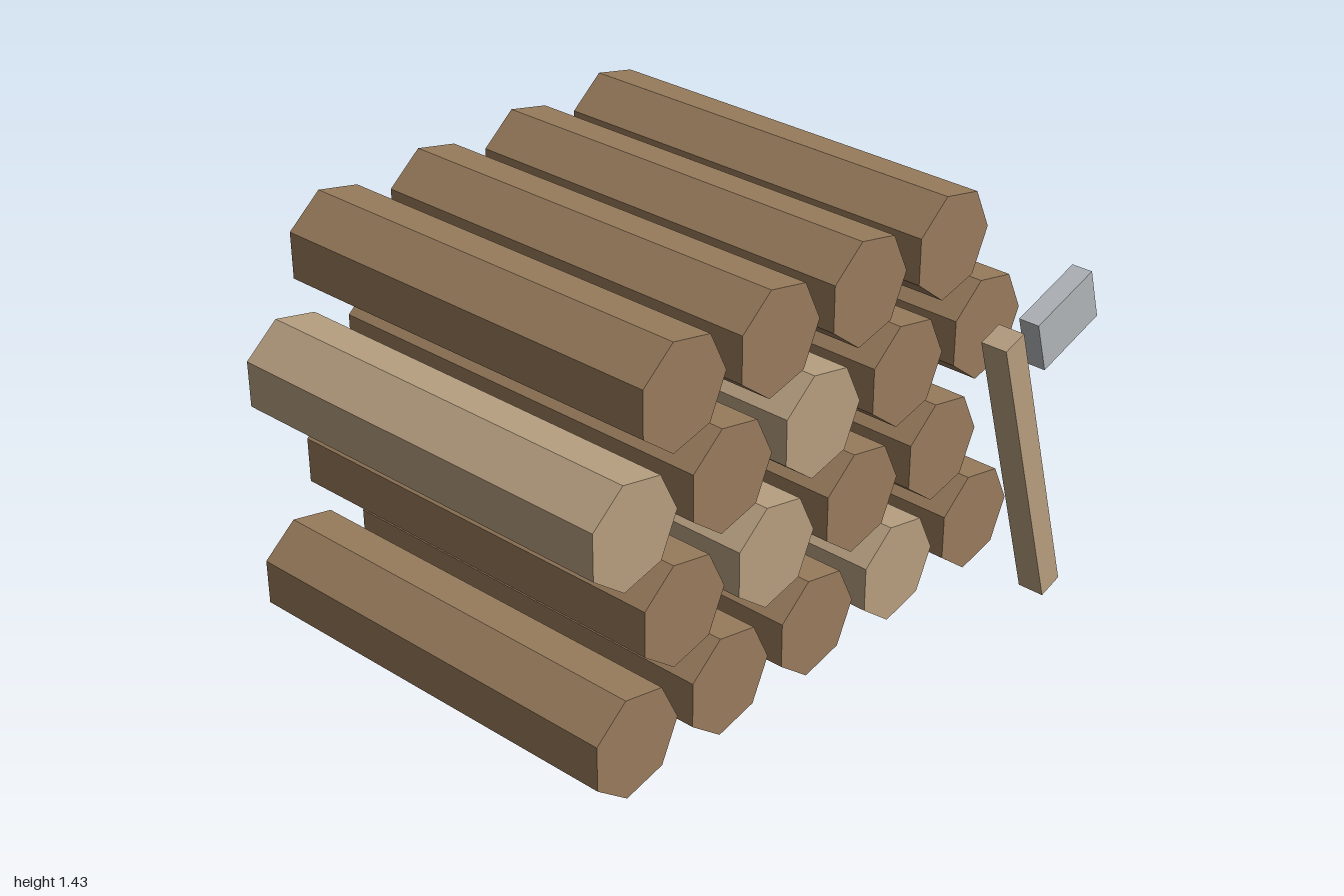
import * as THREE from 'three';

const barkBrown = new THREE.MeshStandardMaterial({ color: 0x987b5c });
barkBrown.name = 'barkBrown';
const paleWood = new THREE.MeshStandardMaterial({ color: 0xb79f80 });
paleWood.name = 'paleWood';
const steel = new THREE.MeshStandardMaterial({ color: 0xb0b5b9 });
steel.name = 'steel';

// Seven-sided log along x with faceted normals, one corner pointing to -z
function logGeometry(radius, length) {
  const g = new THREE.CylinderGeometry(radius, radius, length, 7, 1, false, Math.PI)
    .rotateZ(Math.PI / 2)
    .toNonIndexed();
  g.computeVertexNormals();
  return g;
}

export function createModel() {
  const group = new THREE.Group();
  group.name = 'woodpileWithAxe';

  const add = (parent, name, geometry, material, x, y, z) => {
    const mesh = new THREE.Mesh(geometry, material);
    mesh.name = name;
    mesh.position.set(x, y, z);
    parent.add(mesh);
    return mesh;
  };

  // Stacked logs: rows of five and four alternate; listed logs are pale
  const pile = new THREE.Group();
  pile.name = 'logPile';
  group.add(pile);
  const geometry = logGeometry(0.179, 1.433);
  const pitch = 0.407;
  const paleLogs = [[3], [1], [0, 2], []];
  paleLogs.forEach((pale, row) => {
    const odd = row % 2;
    for (let i = 0; i < 5 - odd; i++) {
      const z = 0.839 - (i + odd / 2) * pitch;
      const material = pale.includes(i) ? paleWood : barkBrown;
      add(pile, `log${row + 1}_${i + 1}`, geometry, material, -0.144, 0.185 + row * 0.358, z);
    }
  });

  // Axe leaning beside the pile
  const axe = new THREE.Group();
  axe.name = 'axe';
  group.add(axe);
  const tilt = 0.292;
  add(axe, 'axeHandle', new THREE.BoxGeometry(0.092, 1.074, 0.092), paleWood, 0.81, 0.53, -0.69).rotation.x = tilt;
  add(axe, 'axeHead', new THREE.BoxGeometry(0.072, 0.182, 0.286), steel, 0.81, 0.998, -0.834).rotation.x = tilt;

  return group;
}
